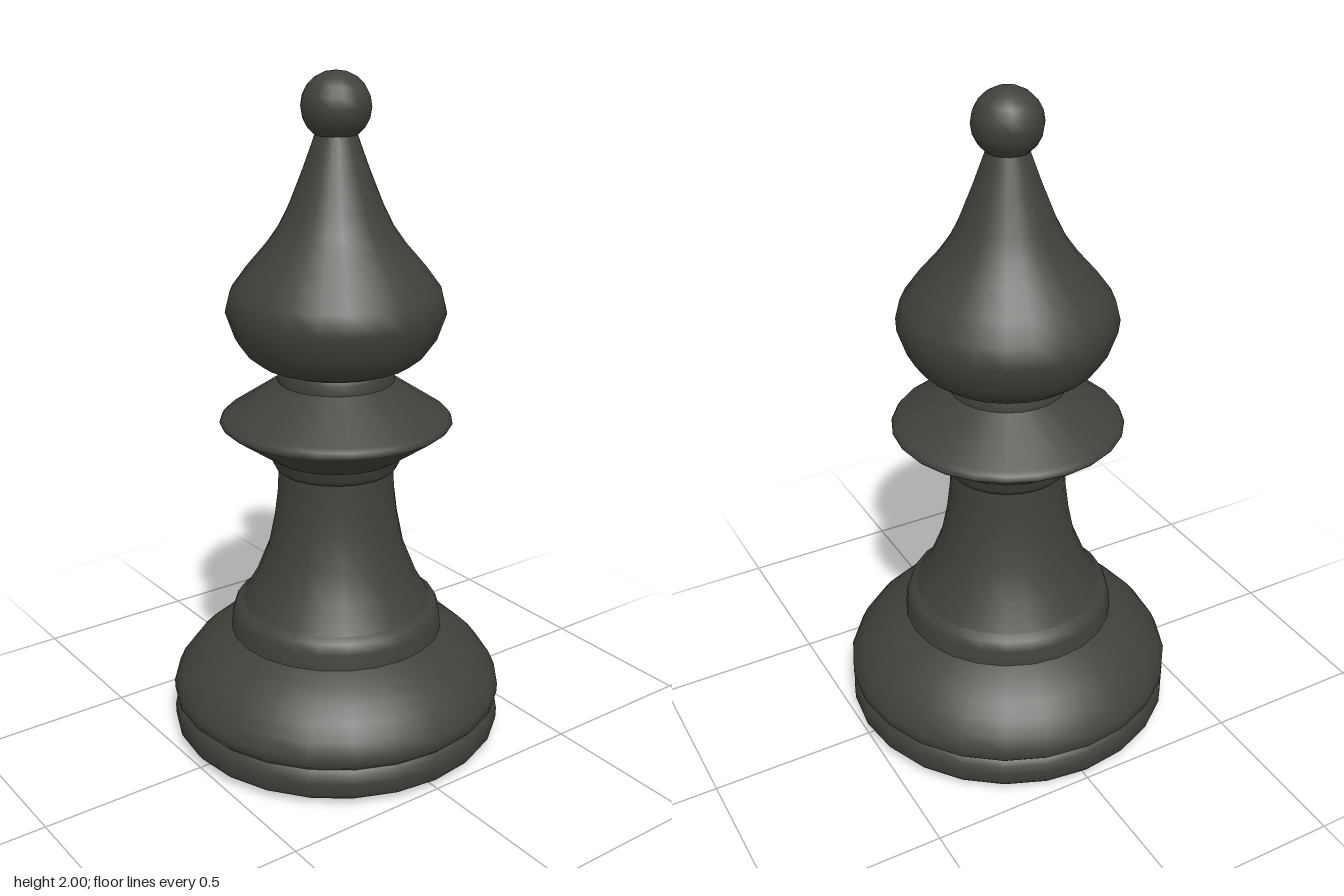
import * as THREE from 'three';

const SIDES = 24;

export function createModel() {
  const model = new THREE.Group();
  const darkLacquer = new THREE.MeshStandardMaterial({ color: 0x40413a });
  darkLacquer.name = 'darkLacquer';
  const pinkFelt = new THREE.MeshStandardMaterial({ color: 0xcba294 });
  pinkFelt.name = 'pinkFelt';

  // Turned part from [radius, height] points, bottom to top; smooth within a part, sharp between parts
  function turned(name, points, material = darkLacquer) {
    const profile = points.map(([r, y]) => new THREE.Vector2(r, y));
    const mesh = new THREE.Mesh(new THREE.LatheGeometry(profile, SIDES), material);
    mesh.name = name;
    model.add(mesh);
  }

  // Felt pad
  turned('feltBottom', [[0, 0], [0.456, 0]], pinkFelt);
  turned('feltEdge', [[0.456, 0], [0.464, 0.01], [0.468, 0.026]], pinkFelt);

  // Base
  turned('baseUnderside', [[0.455, 0.024], [0.49, 0.024]]);
  turned('baseRing', [[0.49, 0.024], [0.502, 0.04], [0.503, 0.075], [0.498, 0.1], [0.485, 0.113]]);
  turned('baseDome', [[0.485, 0.113], [0.502, 0.13], [0.503, 0.16], [0.485, 0.2], [0.455, 0.24],
    [0.42, 0.275], [0.375, 0.31], [0.32, 0.34]]);
  turned('baseCollar', [[0.323, 0.338], [0.318, 0.385], [0.308, 0.415], [0.28, 0.432]]);

  // Stem
  turned('stem', [[0.296, 0.412], [0.245, 0.5], [0.205, 0.6], [0.185, 0.7], [0.175, 0.78], [0.171, 0.86]]);
  turned('neckRing', [[0.165, 0.851], [0.18, 0.855], [0.188, 0.87], [0.198, 0.901]]);

  // Flared disc
  turned('discUnderside', [[0.17, 0.881], [0.21, 0.905], [0.336, 0.992]]);
  turned('discTop', [[0.336, 0.992], [0.343, 1.0], [0.335, 1.012], [0.322, 1.021], [0.165, 1.125]]);
  turned('upperRing', [[0.171, 1.119], [0.171, 1.15], [0.16, 1.166]]);

  // Onion-shaped head
  turned('head', [[0.1, 1.155], [0.185, 1.166], [0.225, 1.181], [0.262, 1.21], [0.292, 1.252], [0.319, 1.33],
    [0.304, 1.39], [0.26, 1.45], [0.2, 1.52], [0.165, 1.57], [0.135, 1.63], [0.095, 1.73], [0.055, 1.84]]);

  // Finial
  const ball = new THREE.Mesh(new THREE.SphereGeometry(0.1, 16, 10), darkLacquer);
  ball.name = 'finialBall';
  ball.scale.y = 0.97;
  ball.position.y = 1.903;
  model.add(ball);

  return model;
}
